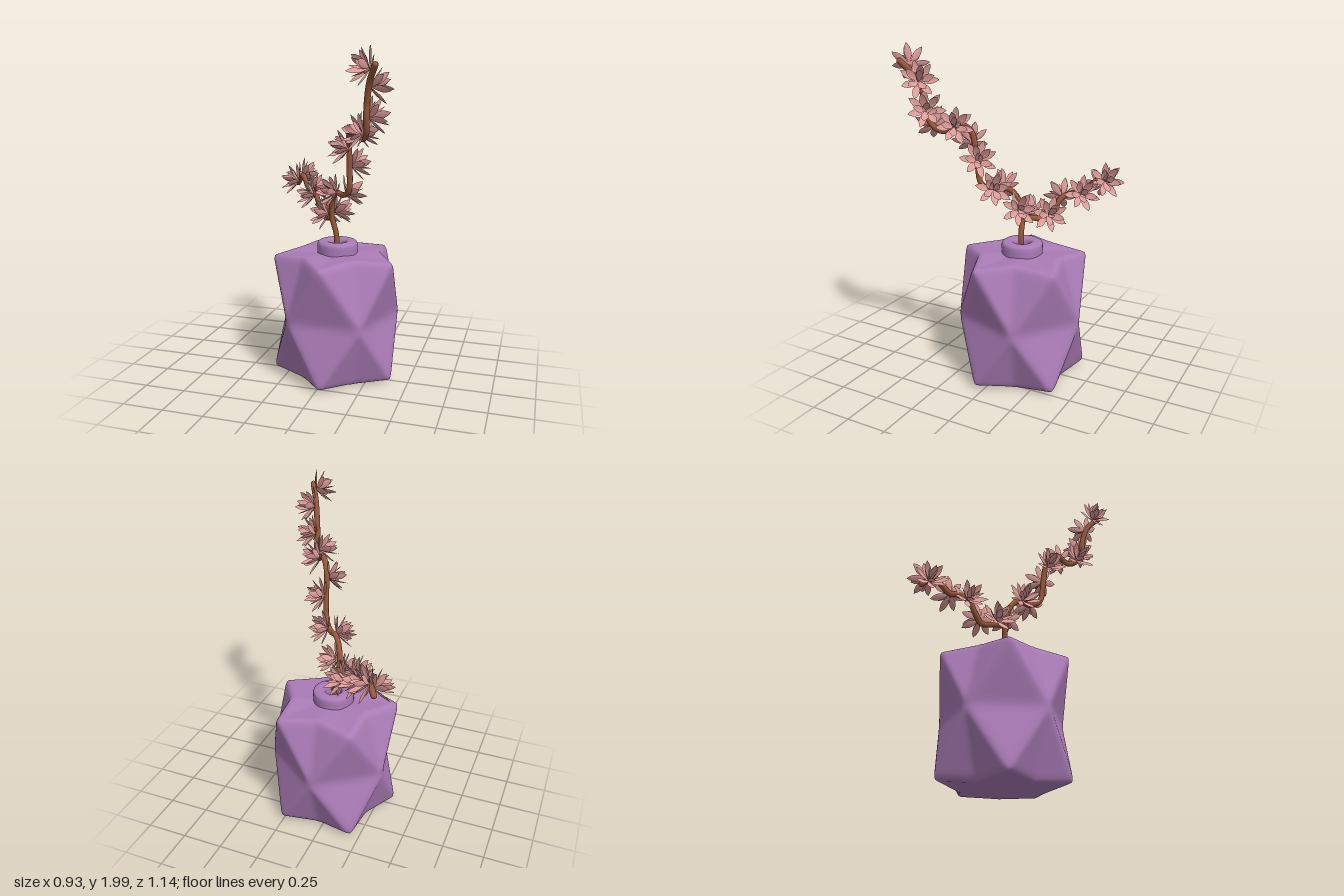
import * as THREE from 'three';
import { mergeGeometries, mergeVertices } from 'three/addons/utils/BufferGeometryUtils.js';

const vaseMaterial = new THREE.MeshStandardMaterial({ color: 0xab7cb7 });
vaseMaterial.name = 'purple ceramic';
const barkMaterial = new THREE.MeshStandardMaterial({ color: 0x985839 });
barkMaterial.name = 'brown bark';
const petalMaterial = new THREE.MeshStandardMaterial({ color: 0xe09d9a, side: THREE.DoubleSide });
petalMaterial.name = 'pink petal';

const V = (x, y, z) => new THREE.Vector3(x, y, z);

// Split a triangle into n * n smaller ones
function subdivide(a, b, c, n, out) {
  const at = (i, j) => a.clone().addScaledVector(b.clone().sub(a), i / n).addScaledVector(c.clone().sub(a), j / n);
  for (let i = 0; i < n; i++) {
    for (let j = 0; j < n - i; j++) {
      out.push(at(i, j), at(i + 1, j), at(i, j + 1));
      if (i + j < n - 1) out.push(at(i + 1, j), at(i + 1, j + 1), at(i, j + 1));
    }
  }
}

// Average every vertex with its neighbours to round the edges
function soften(geometry, rounds) {
  const pos = geometry.attributes.position, idx = geometry.index;
  const near = Array.from({ length: pos.count }, () => new Set());
  for (let i = 0; i < idx.count; i += 3) {
    const t = [idx.getX(i), idx.getX(i + 1), idx.getX(i + 2)];
    t.forEach((v, k) => near[v].add(t[(k + 1) % 3]).add(t[(k + 2) % 3]));
  }
  for (let r = 0; r < rounds; r++) {
    const old = near.map((_, i) => V().fromBufferAttribute(pos, i));
    near.forEach((set, i) => {
      const mean = V(0, 0, 0);
      set.forEach((k) => mean.add(old[k]));
      mean.divideScalar(set.size);
      pos.setXYZ(i, mean.x, mean.y, mean.z);
    });
  }
}

// Faceted body: star-shaped rims and a pentagon waist turned by 36 degrees
function vaseBody() {
  const ring = (i, r, y) => V(r * Math.sin(i * Math.PI / 5), y, r * Math.cos(i * Math.PI / 5));
  const T = (i) => ring(i, 0.398, 0.755), B = (i) => ring(i, 0.398, 0.02);
  const M = (i) => ring(i, 0.385, 0.387);
  const topDent = (i) => ring(i, 0.26, 0.776), lowDent = (i) => ring(i, 0.26, -0.002);
  const top = V(0, 0.77, 0), bottom = V(0, 0.004, 0), pts = [], n = 19;
  for (let i = 0; i < 10; i += 2) {
    const m = M(i + 1), d = topDent(i + 1), e = lowDent(i + 1);
    for (const corners of [
      [T(i), M(i - 1), m], [T(i), m, d], [d, m, T(i + 2)],
      [B(i), m, M(i - 1)], [B(i), e, m], [e, B(i + 2), m],
      [top, T(i), d], [top, d, T(i + 2)],
      [bottom, e, B(i)], [bottom, B(i + 2), e],
    ]) subdivide(...corners, n, pts);
  }
  const geometry = mergeVertices(new THREE.BufferGeometry().setFromPoints(pts), 1e-4);
  soften(geometry, 2);
  geometry.computeVertexNormals();
  return geometry;
}

// One petal: a narrow leaf outline, slightly cupped, standing along +y
function petal(length, width, tilt, turn) {
  const geometry = new THREE.PlaneGeometry(1, 1, 2, 6);
  const pos = geometry.attributes.position;
  for (let i = 0; i < pos.count; i++) {
    const s = pos.getX(i), t = pos.getY(i) + 0.5;
    const w = width * (0.08 + Math.sin(Math.PI * Math.pow(t, 1.25))) * (t > 0.99 ? 0 : 1);
    pos.setXYZ(i, s * w, t * length, 0.006 * Math.sin(Math.PI * t) * (1 - 2 * Math.abs(s)));
  }
  geometry.computeVertexNormals();
  return geometry.rotateX(tilt).rotateY(turn);
}

// Open blossom made of three whorls of petals
function blossom() {
  const petals = [];
  for (const [count, tilt, length, width, offset] of [
    [3, 0.25, 0.115, 0.036, 0.4],
    [5, 0.65, 0.125, 0.04, 0],
    [7, 1.12, 0.122, 0.038, 0.25],
  ]) {
    for (let i = 0; i < count; i++) {
      petals.push(petal(length, width, tilt + 0.1 * Math.sin(i * 2.3), offset + i * 2 * Math.PI / count));
    }
  }
  return mergeGeometries(petals);
}

export function createModel() {
  const model = new THREE.Group();
  const add = (parent, name, geometry, material) => {
    const mesh = new THREE.Mesh(geometry, material);
    mesh.name = name;
    parent.add(mesh);
    return mesh;
  };

  // Vase with a round, hollow neck
  const vase = new THREE.Group();
  vase.name = 'vase';
  vase.position.set(0.03, 0, -0.075);
  model.add(vase);
  add(vase, 'vaseBody', vaseBody(), vaseMaterial);
  const profile = [
    [0.122, 0.75], [0.123, 0.8], [0.123, 0.82], [0.119, 0.833], [0.108, 0.84],
    [0.08, 0.842], [0.062, 0.839], [0.052, 0.83], [0.048, 0.815], [0.047, 0.76],
  ].map(([r, y]) => new THREE.Vector2(r, y));
  add(vase, 'vaseNeck', new THREE.LatheGeometry(profile, 40), vaseMaterial);

  // Branches
  const paths = {
    mainBranch: [
      [0.025, 0.75, -0.07], [0.025, 0.88, -0.065], [0, 0.985, -0.06], [0.01, 1.1, -0.03], [0.05, 1.155, 0.015],
      [0.1, 1.15, 0.06], [0.155, 1.19, 0.125], [0.165, 1.34, 0.15], [0.175, 1.5, 0.18], [0.22, 1.545, 0.235],
      [0.275, 1.505, 0.295], [0.31, 1.54, 0.35], [0.318, 1.62, 0.383], [0.323, 1.7, 0.393],
      [0.345, 1.81, 0.43], [0.39, 1.895, 0.5],
    ],
    sideBranch: [
      [0.005, 0.98, -0.06], [-0.035, 0.97, -0.115], [-0.085, 0.96, -0.18], [-0.125, 1.01, -0.21],
      [-0.16, 1.08, -0.24], [-0.205, 1.105, -0.295], [-0.24, 1.1, -0.335], [-0.27, 1.135, -0.37],
      [-0.305, 1.175, -0.41], [-0.36, 1.115, -0.467],
    ],
  };
  for (const [name, points] of Object.entries(paths)) {
    const curve = new THREE.CatmullRomCurve3(points.map((p) => V(...p)));
    add(model, name, new THREE.TubeGeometry(curve, 90, 0.017, 10), barkMaterial);
    const tip = add(model, name + 'Tip', new THREE.SphereGeometry(0.017, 10, 8), barkMaterial);
    tip.position.set(...points[points.length - 1]);
  }

  // Blossoms leaning out to either side of the branches: x, y, z, side
  const flower = blossom();
  const places = [
    [0.015, 1.02, -0.04, 1], [0.06, 1.15, 0.03, -1], [0.115, 1.155, 0.075, 1], [0.165, 1.33, 0.145, 1],
    [0.175, 1.43, 0.175, -1], [0.235, 1.525, 0.255, 1], [0.3, 1.53, 0.345, -1], [0.32, 1.62, 0.385, 1],
    [0.337, 1.78, 0.417, 1], [0.36, 1.87, 0.452, -1],
    [-0.03, 0.99, -0.11, -1], [-0.09, 0.985, -0.185, 1], [-0.165, 1.075, -0.25, -1], [-0.235, 1.095, -0.33, 1],
    [-0.335, 1.13, -0.435, -1], [-0.335, 1.165, -0.44, 1],
  ];
  places.forEach(([x, y, z, side], i) => {
    const mesh = add(model, 'blossom' + (i + 1), flower, petalMaterial);
    const axis = V(0.78 * side, 0.4, -0.62 * side).normalize();
    mesh.quaternion.setFromUnitVectors(V(0, 1, 0), axis);
    mesh.rotateY(i * 1.9);
    mesh.position.set(x, y, z).addScaledVector(axis, 0.01);
  });
  return model;
}
